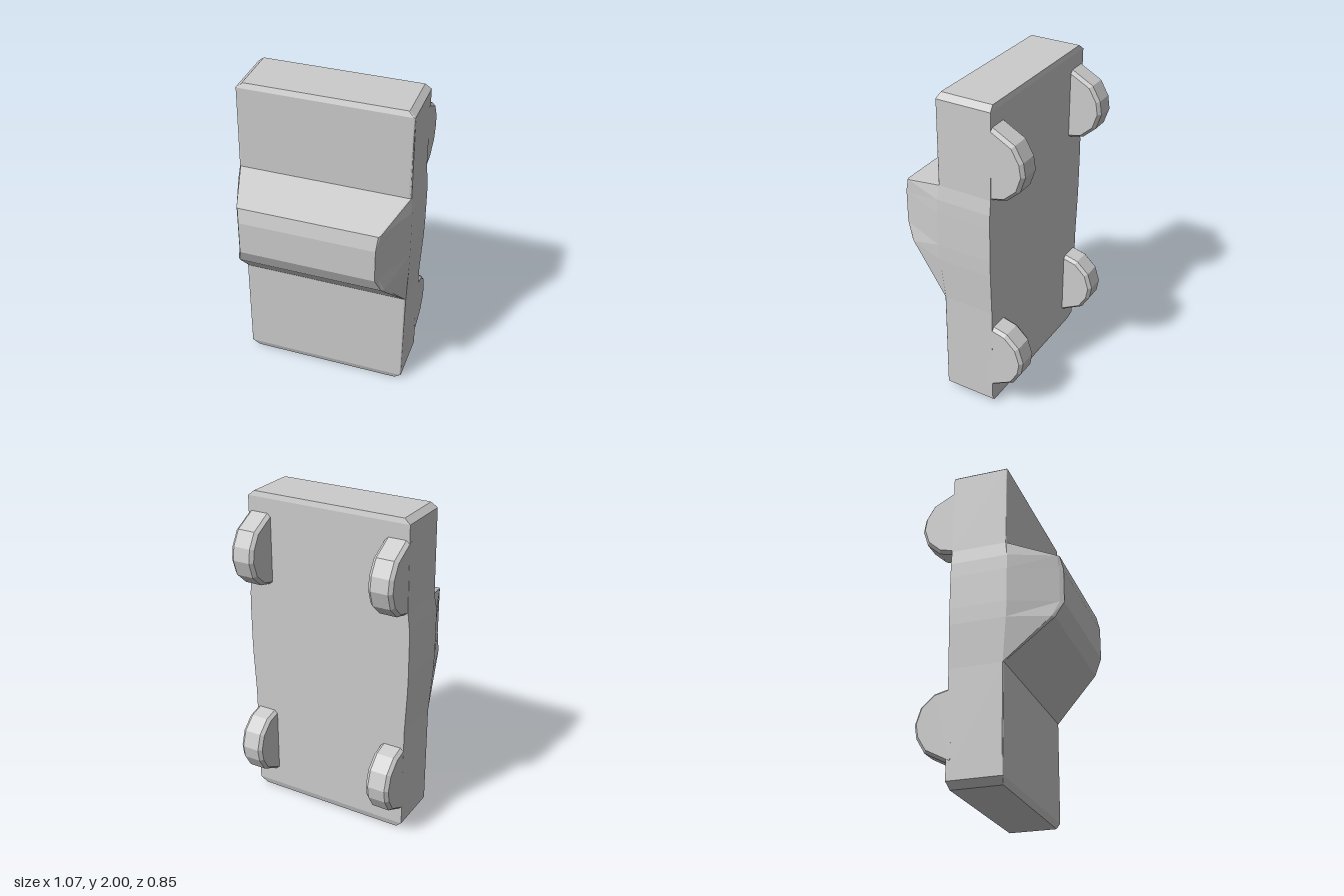
import * as THREE from 'three';

const paint = new THREE.MeshStandardMaterial({ color: 0xcccccc, flatShading: true });
paint.name = 'light grey';

// Closed solid through rings of equal length, each running counter-clockwise about the loft direction
function loft(rings, name) {
  const n = rings[0].length;
  const index = [];
  for (let i = 0; i < rings.length - 1; i++) {
    for (let j = 0; j < n; j++) {
      const k = (j + 1) % n;
      const a = i * n + j, b = i * n + k, c = b + n, d = a + n;
      index.push(a, b, c, a, c, d);
    }
  }
  const last = (rings.length - 1) * n;
  for (let j = 1; j < n - 1; j++) {
    index.push(0, j + 1, j, last, last + j, last + j + 1);
  }
  const geometry = new THREE.BufferGeometry();
  geometry.setAttribute('position', new THREE.Float32BufferAttribute(rings.flat(2), 3));
  geometry.setIndex(index);
  const flat = geometry.toNonIndexed();
  flat.computeVertexNormals();
  const mesh = new THREE.Mesh(flat, paint);
  mesh.name = name;
  return mesh;
}

// Car body and cabin, standing on end
function createBody() {
  // y, side width, back z, side front z, shoulder x, shoulder z, roof x, roof z
  const sections = [
    [0.00, 0.480, -0.212, 0.085, 0.478, 0.090, 0.475, 0.092],
    [0.04, 0.520, -0.224, 0.098, 0.517, 0.103, 0.513, 0.105],
    [0.69, 0.522, -0.224, 0.098, 0.517, 0.103, 0.510, 0.105],
    [0.96, 0.535, -0.224, 0.120, 0.455, 0.362, 0.440, 0.380],
    [1.06, 0.537, -0.224, 0.125, 0.425, 0.405, 0.412, 0.428],
    [1.27, 0.537, -0.224, 0.125, 0.425, 0.405, 0.412, 0.428],
    [1.36, 0.535, -0.224, 0.125, 0.430, 0.395, 0.420, 0.407],
    [1.45, 0.524, -0.224, 0.113, 0.518, 0.118, 0.507, 0.120],
    [1.97, 0.520, -0.224, 0.113, 0.517, 0.118, 0.513, 0.120],
    [2.00, 0.483, -0.216, 0.100, 0.481, 0.104, 0.478, 0.106],
  ];
  return loft(sections.map(([y, w, zb, zs, xs, zh, xr, zr]) => [
    [-xr, y, zr], [xr, y, zr], [xs, y, zh], [w, y, zs],
    [w, y, zb], [-w, y, zb], [-w, y, zs], [-xs, y, zh],
  ]), 'body');
}

// Half wheel with bevelled rims, set into the underside
function createWheel(name) {
  const profile = [ // z, y
    [-0.20, -0.230], [-0.225, -0.220], [-0.360, -0.148], [-0.412, -0.060],
    [-0.425, 0.022], [-0.393, 0.120], [-0.313, 0.193], [-0.225, 0.215], [-0.20, 0.215],
  ];
  const slices = [[-0.075, 0.92], [-0.054, 1], [0.054, 1], [0.075, 0.92]];
  return loft(slices.map(([x, s]) =>
    profile.map(([z, y]) => [x, y * s, -0.2 + (z + 0.2) * s])), name);
}

export function createModel() {
  const model = new THREE.Group();
  model.name = 'toyCar';
  model.add(createBody());
  for (const [side, sx] of [['Left', 1], ['Right', -1]]) {
    const lower = createWheel('lowerWheel' + side);
    lower.position.set(sx * 0.446, 0.365, 0);
    const upper = createWheel('upperWheel' + side);
    upper.position.set(sx * 0.446, 1.66, 0);
    upper.rotation.z = Math.PI;
    model.add(lower, upper);
  }
  return model;
}
